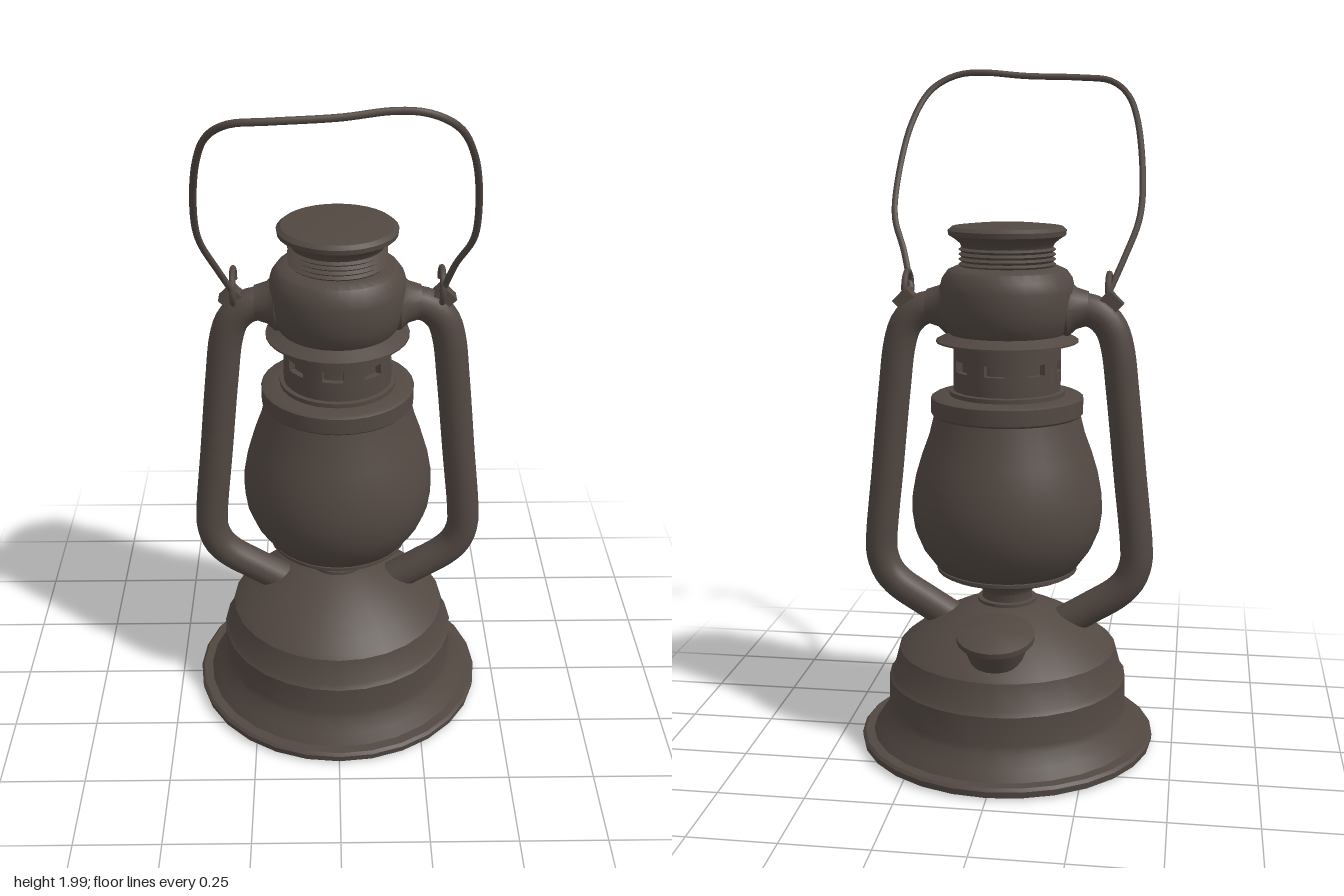
import * as THREE from 'three';
import { toCreasedNormals } from 'three/addons/utils/BufferGeometryUtils.js';

export function createModel() {
  const model = new THREE.Group();
  model.name = 'lantern';
  const metal = new THREE.MeshStandardMaterial({ color: 0x524842 });
  metal.name = 'dark brown metal';

  const add = (name, geometry, parent = model) => {
    const mesh = new THREE.Mesh(geometry, metal);
    mesh.name = name;
    parent.add(mesh);
    return mesh;
  };
  // Turned part from [radius, height] pairs, listed bottom to top
  const turned = (name, profile, parent = model, segments = 32) => add(name, toCreasedNormals(
    new THREE.LatheGeometry(profile.map(([r, y]) => new THREE.Vector2(r, y)), segments), 0.55), parent);
  const path = (points) => new THREE.CatmullRomCurve3(
    points.map(([x, y, z = 0]) => new THREE.Vector3(x, y, z)), false, 'centripetal');

  const body = new THREE.Group();
  body.name = 'body';
  body.position.z = -0.004;
  model.add(body);

  // Fuel tank with rolled foot and domed top
  turned('fuelTank', [[0, 0.005], [0.425, 0.005], [0.438, 0.012], [0.44, 0.03], [0.432, 0.038], [0.405, 0.04],
    [0.385, 0.07], [0.362, 0.105], [0.356, 0.125], [0.356, 0.212], [0.345, 0.225], [0.325, 0.3], [0.312, 0.312],
    [0.27, 0.345], [0.21, 0.385], [0.15, 0.415], [0.09, 0.44], [0.08, 0.442]], body, 28);

  // Burner neck and the dish under the globe
  turned('burner', [[0.088, 0.435], [0.088, 0.45], [0.075, 0.452], [0.075, 0.475], [0.09, 0.5], [0.1, 0.512],
    [0.195, 0.533], [0.208, 0.54], [0.208, 0.55], [0.19, 0.552]], body);

  turned('globe', [[0.19, 0.545], [0.21, 0.555], [0.25, 0.61], [0.273, 0.665], [0.281, 0.72], [0.279, 0.77],
    [0.268, 0.83], [0.25, 0.89], [0.228, 0.95], [0.212, 1.015]], body);

  turned('globeCollar', [[0.205, 1.01], [0.216, 1.008], [0.222, 1.014], [0.222, 1.06], [0.212, 1.066],
    [0.155, 1.068]], body);

  // Chimney band with a ring of open vents between short posts
  turned('chimneyLower', [[0.168, 1.067], [0.168, 1.08], [0.156, 1.082], [0.156, 1.14], [0.138, 1.14]], body);
  turned('chimneyCore', [[0.138, 1.13], [0.138, 1.18]], body);
  turned('chimneyUpper', [[0.138, 1.172], [0.156, 1.172], [0.156, 1.225]], body);
  const vents = 8, ventAngle = 0.42, step = Math.PI * 2 / vents;
  for (let i = 0; i < vents; i++) {
    const start = i * step + ventAngle / 2 - 0.1, width = step - ventAngle;
    add('ventPost', new THREE.CylinderGeometry(0.156, 0.156, 0.032, 4, 1, true, start, width), body)
      .position.y = 1.156;
    for (const a of [start, start + width]) {
      const side = add('ventPostSide', new THREE.BoxGeometry(0.004, 0.032, 0.02), body);
      side.position.set(Math.sin(a) * 0.146, 1.156, Math.cos(a) * 0.146);
      side.rotation.y = a;
    }
  }

  // Drip flange, bulbous hood, threaded neck and top cap
  turned('flange', [[0.156, 1.218], [0.206, 1.222], [0.206, 1.227], [0.165, 1.248]], body);
  turned('hood', [[0.163, 1.24], [0.178, 1.262], [0.19, 1.295], [0.195, 1.33], [0.195, 1.375], [0.188, 1.405],
    [0.172, 1.428], [0.145, 1.44], [0.13, 1.44]], body);
  const thread = [[0.13, 1.435]];
  for (let i = 0; i < 4; i++) thread.push([0.14, 1.445 + i * 0.014], [0.13, 1.452 + i * 0.014]);
  turned('threadedNeck', thread, body);
  turned('topCap', [[0.13, 1.492], [0.136, 1.505], [0.152, 1.518], [0.168, 1.528], [0.17, 1.542], [0.158, 1.552],
    [0.1, 1.558], [0, 1.56]], body);

  // Filler cap on the back of the tank, leaning outwards
  const filler = turned('fillerCap', [[0.068, -0.12], [0.068, -0.085], [0.076, -0.08], [0.098, -0.014],
    [0.112, -0.012], [0.112, 0.004], [0.104, 0.008], [0, 0.01]], model, 24);
  filler.position.set(0, 0.417, -0.25);
  filler.rotation.x = -0.19;

  // Side air tubes, with flared joints and bail ears
  for (const s of [-1, 1]) {
    const side = s > 0 ? 'left' : 'right';
    const tube = path([[0.15, 1.32], [0.22, 1.318], [0.262, 1.305], [0.298, 1.268], [0.318, 1.21], [0.335, 1.08],
      [0.36, 0.84], [0.383, 0.62], [0.383, 0.57], [0.365, 0.515], [0.33, 0.475], [0.25, 0.423], [0.13, 0.35]]
      .map(([x, y]) => [s * x, y]));
    add(side + 'AirTube', new THREE.TubeGeometry(tube, 64, 0.048, 16));

    const flare = turned(side + 'TubeJoint', [[0.082, 0.15], [0.08, 0.178], [0.06, 0.2], [0.049, 0.235]], model, 20);
    flare.rotation.z = -s * Math.PI / 2;
    flare.position.y = 1.32;

    const ear = add(side + 'BailEar', new THREE.BoxGeometry(0.056, 0.056, 0.05));
    ear.position.set(s * 0.295, 1.335, 0);
    ear.rotation.z = Math.PI / 4;

    const hook = add(side + 'BailHook', new THREE.TorusGeometry(0.05, 0.009, 8, 20, Math.PI * 1.5));
    hook.position.set(s * 0.292, 1.37, 0);
    hook.rotation.set(0, Math.PI / 2, 0);
  }

  // Bent wire bail, leaning to the front
  const bail = path([[-0.29, 1.365, 0.035], [-0.33, 1.46, 0.085], [-0.366, 1.56, 0.145], [-0.373, 1.65, 0.2],
    [-0.35, 1.84, 0.32], [-0.318, 1.92, 0.37], [-0.26, 1.965, 0.418], [-0.17, 1.975, 0.432], [0, 1.98, 0.418],
    [0.13, 1.99, 0.4], [0.21, 1.983, 0.396], [0.285, 1.94, 0.367], [0.335, 1.84, 0.3], [0.362, 1.65, 0.19],
    [0.357, 1.56, 0.14], [0.32, 1.47, 0.085], [0.29, 1.365, 0.035]]);
  add('bail', new THREE.TubeGeometry(bail, 96, 0.0095, 8));

  return model;
}
